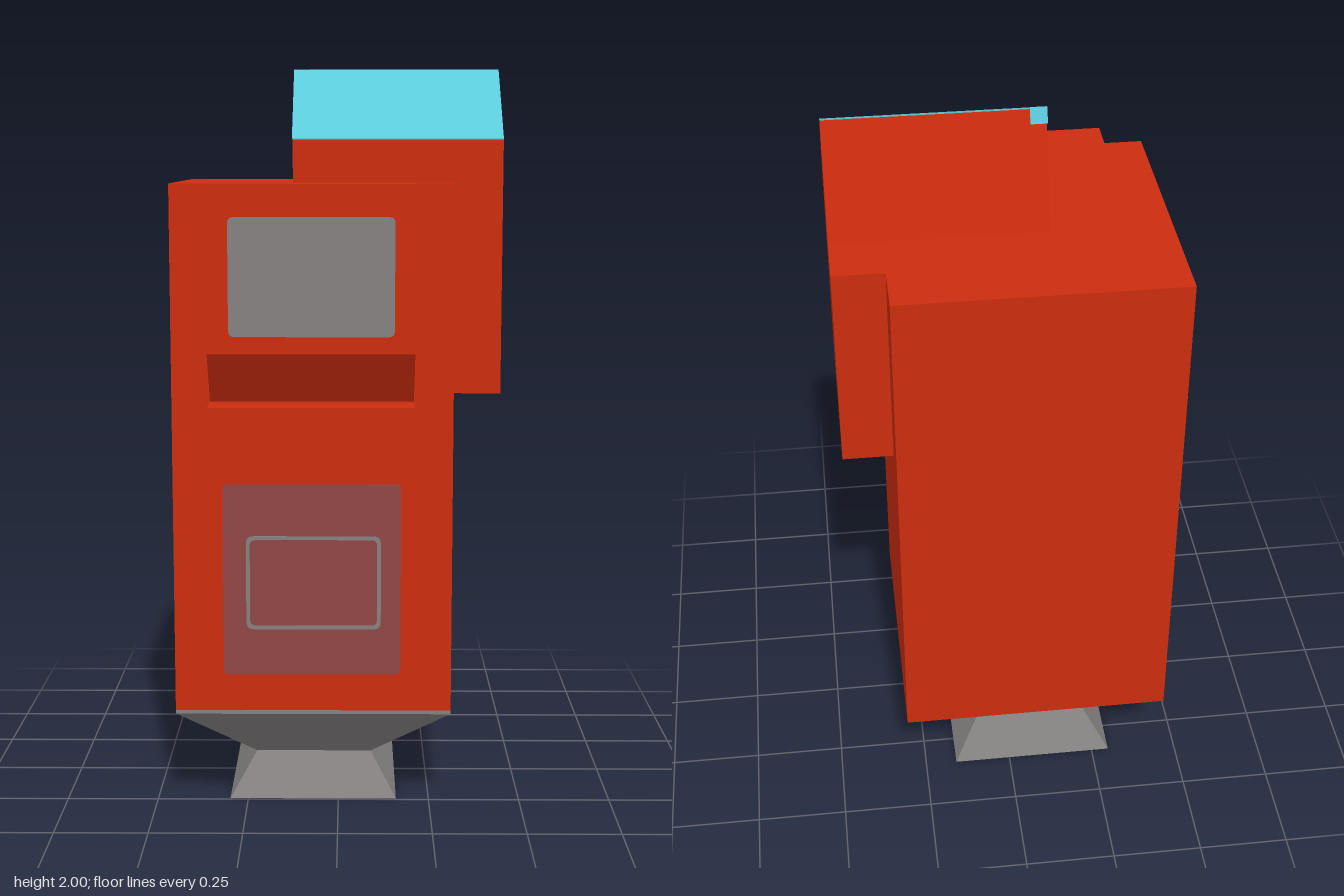
import * as THREE from 'three';

const mat = (name, color) => Object.assign(new THREE.MeshStandardMaterial({ color }), { name });

export function createModel() {
  const red = mat('red', 0xcc2c0e);
  const grey = mat('grey', 0x848180);
  const cyan = mat('cyan', 0x5ccbdb);
  const maroon = mat('dull maroon', 0x904846);

  const model = new THREE.Group();
  model.name = 'kiosk';
  const add = (name, geometry, material) => {
    const mesh = new THREE.Mesh(geometry, material);
    mesh.name = name;
    model.add(mesh);
    return mesh;
  };

  // Box between two corners
  const box = (name, x0, x1, y0, y1, z0, z1, material) =>
    add(name, new THREE.BoxGeometry(x1 - x0, y1 - y0, z1 - z0)
      .translate((x0 + x1) / 2, (y0 + y1) / 2, (z0 + z1) / 2), material);

  // Side profile of [z, y] points, extruded along x
  const profile = (name, points, x0, x1, material) => {
    const shape = new THREE.Shape(points.map(([z, y]) => new THREE.Vector2(z, y)));
    const g = new THREE.ExtrudeGeometry(shape, { depth: x1 - x0, bevelEnabled: false });
    add(name, g.rotateY(-Math.PI / 2).translate(x1, 0, 0), material);
  };

  // Four-sided frustum; each end is [x0, x1, z0, z1]
  const frustum = (name, y0, y1, low, high, material) => {
    const g = new THREE.BoxGeometry(1, 1, 1).toNonIndexed();
    const p = g.attributes.position;
    for (let i = 0; i < p.count; i++) {
      const top = p.getY(i) > 0;
      const end = top ? high : low;
      p.setXYZ(i, end[p.getX(i) > 0 ? 1 : 0], top ? y1 : y0, end[p.getZ(i) > 0 ? 3 : 2]);
    }
    g.computeVertexNormals();
    add(name, g, material);
  };

  // Rounded rectangle outline, and a thin front plate cut from it
  const rounded = (Kind, x0, x1, y0, y1, r) => {
    const s = new Kind();
    s.moveTo(x0 + r, y0);
    s.lineTo(x1 - r, y0).quadraticCurveTo(x1, y0, x1, y0 + r);
    s.lineTo(x1, y1 - r).quadraticCurveTo(x1, y1, x1 - r, y1);
    s.lineTo(x0 + r, y1).quadraticCurveTo(x0, y1, x0, y1 - r);
    s.lineTo(x0, y0 + r).quadraticCurveTo(x0, y0, x0 + r, y0);
    return s;
  };
  const plate = (name, shape, z, material) =>
    add(name, new THREE.ExtrudeGeometry(shape, { depth: 0.004, bevelEnabled: false, curveSegments: 4 })
      .translate(0, 0, z), material);

  // Flared foot and tapered underside
  const waist = [-0.228, 0.09, -0.275, 0.173];
  frustum('foot', 0, 0.115, [-0.3, 0.16, -0.345, 0.243], waist, grey);
  frustum('taperedBase', 0.115, 0.27, waist, [-0.44, 0.305, -0.425, 0.322], grey);

  // Cabinet
  box('cabinet', -0.44, 0.305, 0.27, 1.695, -0.425, 0.322, red);
  box('baseTrim', -0.44, 0.305, 0.27, 0.28, 0.318, 0.324, grey);

  // Front panels
  profile('upperPanel', [[0.3, 1.125], [0.322, 1.125], [0.412, 1.26], [0.412, 1.695], [0.3, 1.695]],
    -0.338, 0.2, red);
  box('lowerPanel', -0.338, 0.2, 0.38, 1.123, 0.3, 0.425, red);

  // Screen, and tray with its thin outline
  plate('screen', rounded(THREE.Shape, -0.282, 0.147, 1.305, 1.612, 0.016), 0.41, grey);
  plate('tray', rounded(THREE.Shape, -0.3, 0.165, 0.412, 0.922, 0.012), 0.423, maroon);
  const outline = rounded(THREE.Shape, -0.24, 0.113, 0.535, 0.785, 0.02);
  outline.holes.push(rounded(THREE.Path, -0.23, 0.103, 0.545, 0.775, 0.015));
  plate('trayOutline', outline, 0.425, grey);

  // Side pod with the ridge that runs across the roof
  profile('sidePod', [[0.171, 1.127], [0.171, 1.695], [-0.277, 1.695], [-0.277, 1.127]], 0.29, 0.44, red);
  profile('roofRidge', [[0.171, 1.68], [0.171, 1.808], [-0.037, 1.995], [-0.127, 1.695], [-0.127, 1.68]],
    -0.122, 0.44, red);
  profile('slopedPane', [[0.171, 1.808], [0.171, 1.812], [-0.037, 2], [-0.037, 1.995]],
    -0.122, 0.44, cyan);

  // Pane corner folded over the ridge's inner end
  profile('paneEnd', [[0.171, 1.811], [-0.037, 2], [-0.049, 1.96]], -0.124, -0.121, cyan);
  profile('paneTab', [[-0.036, 2], [-0.039, 2], [-0.051, 1.96], [-0.045, 1.965]], -0.122, -0.08, cyan);

  return model;
}
